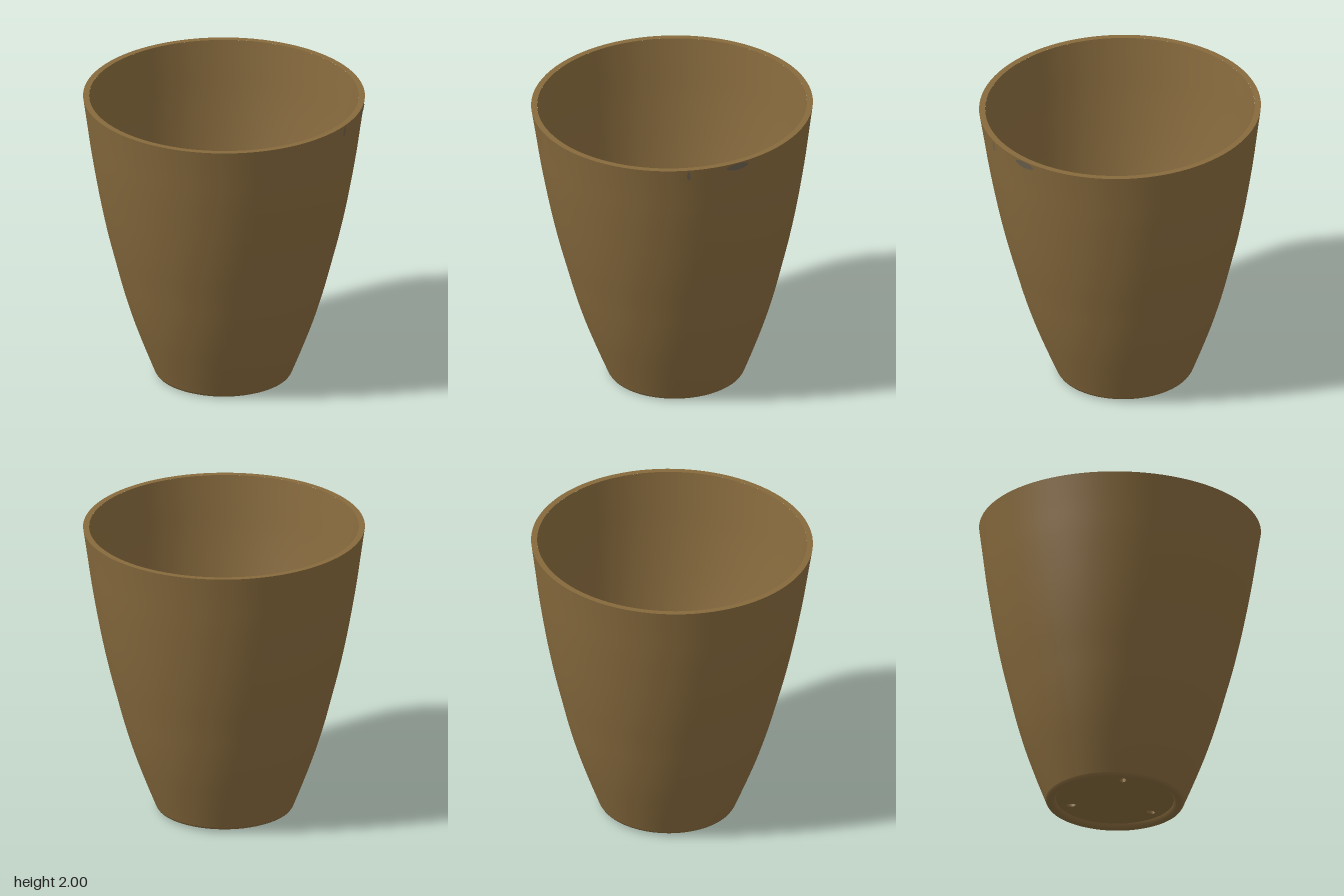
import * as THREE from 'three';

const SEG = 96;
const HEIGHT = 1.975;
const WALL = 0.04;

// Outer wall profile: radius, height
const wallCurve = new THREE.SplineCurve([
  [0.455, 0.02], [0.525, 0.2], [0.597, 0.4], [0.658, 0.6], [0.71, 0.8], [0.76, 1.0],
  [0.803, 1.2], [0.84, 1.4], [0.873, 1.6], [0.901, 1.8], [0.926, HEIGHT],
].map(([r, y]) => new THREE.Vector2(r, y)));
const outer = wallCurve.getPoints(50);

function radiusAt(y) {
  const i = Math.max(1, outer.findIndex((p) => p.y >= y));
  const a = outer[i - 1], b = outer[i];
  return a.x + ((b.x - a.x) * (y - a.y)) / (b.y - a.y);
}

export function createModel() {
  const clay = new THREE.MeshStandardMaterial({ color: 0x876a3d });
  clay.name = 'brown clay';
  const grey = new THREE.MeshStandardMaterial({ color: 0x6c604f });
  grey.name = 'grey brown';

  const model = new THREE.Group();
  model.name = 'planter';
  const pot = new THREE.Group();
  pot.name = 'pot';
  model.add(pot);

  const add = (name, geometry, material) => {
    const mesh = new THREE.Mesh(geometry, material);
    mesh.name = name;
    pot.add(mesh);
  };
  const lathe = (points) => new THREE.LatheGeometry(points, SEG);
  const pts = (list) => list.map(([r, y]) => new THREE.Vector2(r, y));

  // Walls, each its own surface so that the rim edges stay sharp
  const floorY = 0.09;
  const inner = [];
  for (let i = 0; i <= 40; i++) {
    const y = HEIGHT + ((floorY - HEIGHT) * i) / 40;
    inner.push(new THREE.Vector2(radiusAt(Math.min(y, HEIGHT - 0.001)) - WALL, y));
  }
  add('outerWall', lathe(outer), clay);
  add('rim', lathe(pts([[0.926, HEIGHT], [0.886, HEIGHT]])), clay);
  add('innerWall', lathe(inner), clay);

  // Rounded foot around the recessed underside
  add('foot', lathe(pts([
    [0.385, 0.035], [0.392, 0.015], [0.405, 0.004], [0.42, 0],
    [0.435, 0.001], [0.447, 0.007], [0.455, 0.02],
  ])), clay);

  // Floor with three drainage holes
  const disc = new THREE.Shape().absarc(0, 0, 0.448, 0, Math.PI * 2, false);
  for (let i = 0; i < 3; i++) {
    const a = THREE.MathUtils.degToRad(83 + 120 * i);
    const hole = new THREE.Path();
    hole.absellipse(0.306 * Math.cos(a), 0.306 * Math.sin(a), 0.031, 0.022, 0, Math.PI * 2, true, a);
    disc.holes.push(hole);
  }
  const plate = (top, depth) => new THREE.ExtrudeGeometry(disc, { depth, bevelEnabled: false, curveSegments: 48 })
    .rotateX(Math.PI / 2).translate(0, top, 0);
  add('floorBase', plate(floorY - 0.004, floorY - 0.034), clay);
  add('floorTop', plate(floorY, 0.004), grey);

  // Small worn marks wrapped onto the wall below the rim
  const mark = (angle, y, halfWidth, halfHeight) => {
    const g = new THREE.CircleGeometry(1, 20);
    const p = g.attributes.position;
    for (let i = 0; i < p.count; i++) {
      const h = y + p.getY(i) * halfHeight;
      const r = radiusAt(h) + 0.003;
      const t = angle + (p.getX(i) * halfWidth) / r;
      p.setXYZ(i, r * Math.sin(t), h, r * Math.cos(t));
    }
    g.computeVertexNormals();
    return g;
  };
  add('wideMark', mark(THREE.MathUtils.degToRad(134), 1.945, 0.08, 0.025), grey);
  add('narrowMark', mark(THREE.MathUtils.degToRad(113), 1.93, 0.012, 0.035), grey);

  // The pot leans very slightly
  pot.rotation.set(0.01, 0, -0.0165);
  pot.position.set(-0.032, 0.0085, -0.02);
  return model;
}
